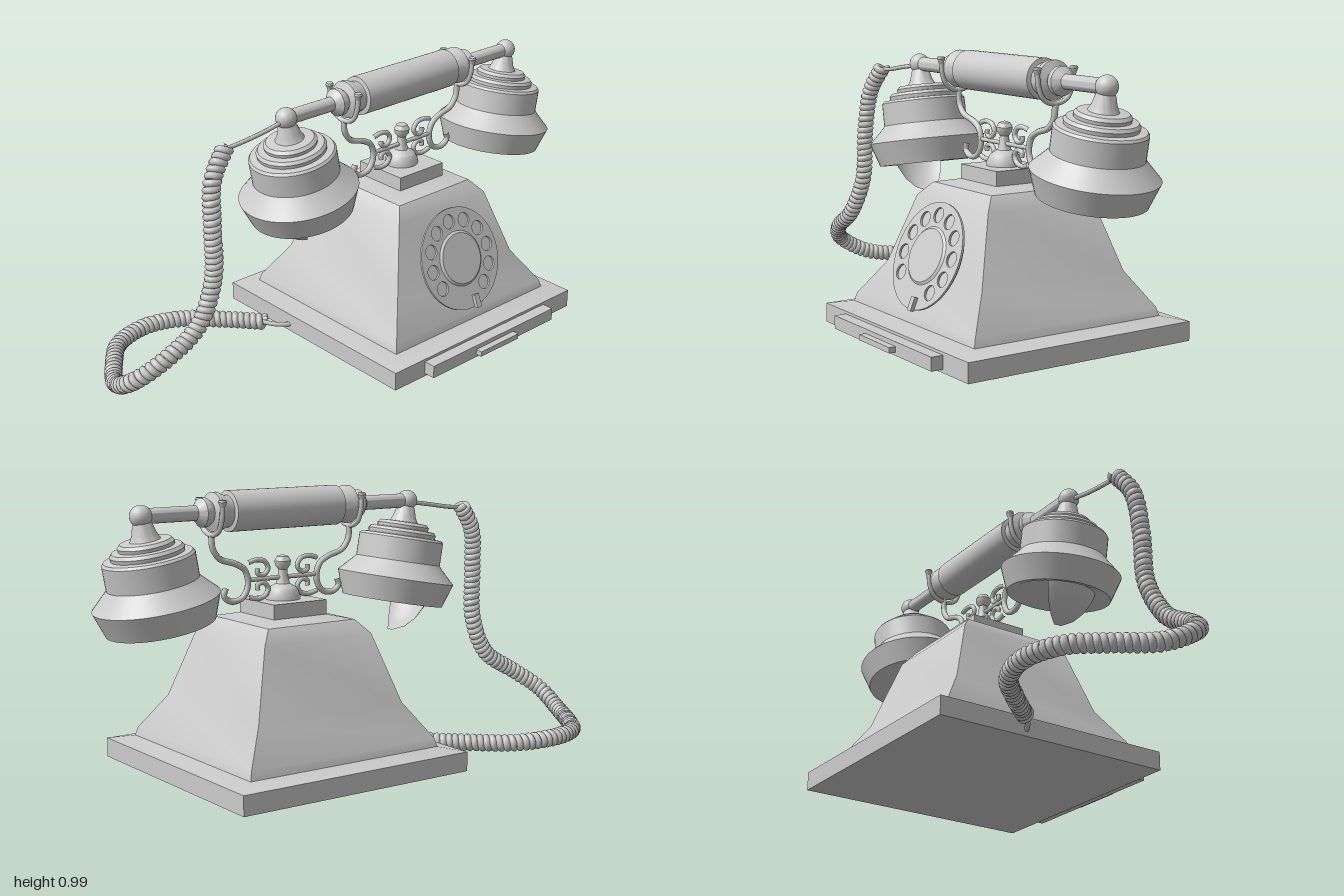
import * as THREE from 'three';
import { toCreasedNormals } from 'three/addons/utils/BufferGeometryUtils.js';

const CX = 0.265, CZ = -0.035, BAR_Y = 0.92;
const grey = new THREE.MeshStandardMaterial({ color: 0xcccccc });
const greyDouble = new THREE.MeshStandardMaterial({ color: 0xcccccc, side: THREE.DoubleSide });
const V = (x, y, z) => new THREE.Vector3(x, y, z);

function add(parent, name, geometry, x = 0, y = 0, z = 0, material = grey) {
  const mesh = new THREE.Mesh(geometry, material);
  mesh.name = name;
  mesh.position.set(x, y, z);
  parent.add(mesh);
  return mesh;
}

// Turned profile of [radius, height] pairs, listed bottom to top
function turned(profile, segments = 40, start = 0, sweep = Math.PI * 2, crease = 0.6) {
  const points = profile.map(([r, y]) => new THREE.Vector2(r, y));
  return toCreasedNormals(new THREE.LatheGeometry(points, segments, start, sweep), crease);
}

// Square tower of [half width, height] pairs
const squareTower = profile =>
  turned(profile.map(([w, y]) => [w * Math.SQRT2, y]), 4, Math.PI / 4, Math.PI * 2, 0.5);

const tube = (points, radius, segments = 40) =>
  new THREE.TubeGeometry(new THREE.CatmullRomCurve3(points), segments, radius, 8);

// Helix wound around a path
class Coil extends THREE.Curve {
  constructor(path, turns, radius) {
    super();
    Object.assign(this, { path, turns, radius, steps: 400 });
    this.frames = path.computeFrenetFrames(this.steps);
  }
  getPoint(t, target = V(0, 0, 0)) {
    const f = t * this.steps, i = Math.min(Math.floor(f), this.steps - 1), k = f - i;
    const n = this.frames.normals[i].clone().lerp(this.frames.normals[i + 1], k);
    const b = this.frames.binormals[i].clone().lerp(this.frames.binormals[i + 1], k);
    const a = t * this.turns * Math.PI * 2;
    return target.copy(this.path.getPointAt(t))
      .addScaledVector(n, Math.cos(a) * this.radius)
      .addScaledVector(b, Math.sin(a) * this.radius);
  }
}

function makeBody() {
  const body = new THREE.Group();
  body.name = 'body';
  add(body, 'housing', squareTower([
    [0, 0], [0.465, 0], [0.465, 0.07], [0.39, 0.085], [0.382, 0.115], [0.3, 0.24],
    [0.222, 0.485], [0.18, 0.533], [0.11, 0.548], [0.11, 0.6], [0, 0.6]]), CX, 0, CZ);
  add(body, 'drawer', new THREE.BoxGeometry(0.64, 0.048, 0.05), CX, 0.036, 0.45);
  add(body, 'drawerHandle', new THREE.BoxGeometry(0.2, 0.02, 0.03), CX, 0.034, 0.485);
  add(body, 'finial', turned([
    [0, 0.6], [0.062, 0.6], [0.062, 0.615], [0.05, 0.64], [0.025, 0.655], [0.018, 0.68],
    [0.016, 0.705], [0.027, 0.72], [0.029, 0.735], [0.02, 0.751], [0, 0.757]], 24), CX, 0, CZ);
  return body;
}

function makeDial() {
  const dial = new THREE.Group();
  dial.name = 'dial';
  const face = new THREE.Shape().absarc(0, 0, 0.192, 0, Math.PI * 2);
  for (let i = 0; i < 10; i++) {
    const a = -0.95 + i * 0.52;
    face.holes.push(new THREE.Path().absarc(Math.cos(a) * 0.145, Math.sin(a) * 0.145, 0.027, 0, Math.PI * 2, true));
  }
  add(dial, 'fingerWheel', new THREE.ExtrudeGeometry(face, { depth: 0.008, bevelEnabled: false, curveSegments: 24 }));
  const disc = (name, top, bottom, depth, z) =>
    add(dial, name, new THREE.CylinderGeometry(top, bottom, depth, 40).rotateX(Math.PI / 2), 0, 0, z);
  disc('numberPlate', 0.18, 0.18, 0.006, -0.007);
  disc('hub', 0.095, 0.105, 0.008, 0.011);
  disc('spindle', 0.05, 0.05, 0.05, -0.03);
  add(dial, 'fingerStop', new THREE.BoxGeometry(0.022, 0.05, 0.014), 0.02, -0.172, 0.015);
  dial.position.set(CX, 0.31, 0.28);
  dial.rotation.x = -0.39;
  return dial;
}

function makeHandset() {
  const handset = new THREE.Group();
  handset.name = 'handset';
  // Half of the turned bar from the middle outward, then mirrored
  const half = [[0.071, 0.225], [0.055, 0.228], [0.055, 0.24], [0.068, 0.268], [0.068, 0.285],
    [0.04, 0.297], [0.05, 0.312], [0.05, 0.33], [0.034, 0.345], [0.026, 0.352], [0.026, 0.53]];
  const mirrored = half.map(([r, y]) => [r, -y]).reverse();
  add(handset, 'handleBar', turned([...mirrored, ...half]).rotateZ(Math.PI / 2));

  const cupProfile = [[0, -0.335], [0.1, -0.345], [0.165, -0.372], [0.187, -0.375], [0.217, -0.288],
    [0.168, -0.238], [0.157, -0.225], [0.157, -0.142], [0.15, -0.133], [0.124, -0.131], [0.126, -0.118],
    [0.118, -0.107], [0.094, -0.105], [0.096, -0.093], [0.086, -0.082], [0.052, -0.08],
    [0.042, -0.06], [0.034, -0.03], [0.02, 0]];
  for (const side of [-1, 1]) {
    const end = new THREE.Group();
    end.name = side < 0 ? 'mouthpieceEnd' : 'earpieceEnd';
    add(end, 'endBall', new THREE.SphereGeometry(0.038, 24, 16));
    add(end, 'cup', turned(cupProfile, 48));
    // Curved speaking lip below one cup
    if (side < 0) add(end, 'speakingLip', turned([[0.015, -0.485], [0.06, -0.465], [0.095, -0.43],
      [0.12, -0.385], [0.13, -0.35]], 16, Math.PI * 1.2, Math.PI * 0.6), 0, 0, 0, greyDouble);
    end.position.x = side * 0.557;
    end.rotation.z = -side * 0.18;
    handset.add(end);
  }
  handset.position.set(CX, BAR_Y, CZ);
  return handset;
}

// One half of the cradle, made toward +x and turned round for the other
function makeCradle(side) {
  const cradle = new THREE.Group();
  cradle.name = side < 0 ? 'rightCradle' : 'leftCradle';
  add(cradle, 'fork', tube([[0.955, -0.076], [0.9, -0.07], [0.858, -0.048], [0.842, 0],
    [0.858, 0.048], [0.9, 0.07], [0.955, 0.076]].map(([y, z]) => V(0.29, y, z)), 0.009));
  for (const z of [-0.076, 0.076])
    add(cradle, 'forkTip', turned([[0, -0.015], [0.008, -0.015], [0.015, 0.003], [0.013, 0.01], [0, 0.012]], 16), 0.29, 0.955, z);
  const scroll = (name, points, radius) =>
    add(cradle, name, tube(points.map(([x, y]) => V(x, y, 0)), radius));
  scroll('arm', [[0.29, 0.842], [0.285, 0.795], [0.257, 0.758], [0.195, 0.737], [0.157, 0.712],
    [0.145, 0.66], [0.168, 0.617], [0.215, 0.608], [0.243, 0.63], [0.235, 0.655]], 0.011);
  // Pair of small inner curls, mirrored up and down
  for (const k of [-1, 1])
    scroll('curl', [[0.145, 0.06], [0.11, 0.068], [0.075, 0.06], [0.062, 0.035], [0.08, 0.014],
      [0.105, 0.02], [0.105, 0.038]].map(([x, y]) => [x, 0.677 + k * y]), 0.009);
  scroll('crossBar', [[0.015, 0.677], [0.08, 0.677], [0.148, 0.677]], 0.008);
  cradle.position.set(CX, 0, CZ);
  cradle.rotation.y = side < 0 ? Math.PI : 0;
  return cradle;
}

function makeCord() {
  const cord = new THREE.Group();
  cord.name = 'cord';
  const path = new THREE.CatmullRomCurve3([
    V(-0.56, 0.89, -0.03), V(-0.63, 0.79, -0.015), V(-0.65, 0.63, 0), V(-0.66, 0.44, 0.005),
    V(-0.74, 0.29, 0.015), V(-0.88, 0.2, 0), V(-0.965, 0.13, -0.06), V(-0.955, 0.06, -0.19),
    V(-0.87, 0.05, -0.33), V(-0.78, 0.05, -0.43), V(-0.63, 0.05, -0.47), V(-0.49, 0.045, -0.43),
    V(-0.38, 0.042, -0.33), V(-0.27, 0.04, -0.21)]);
  add(cord, 'coiledCord', new THREE.TubeGeometry(new Coil(path, 88, 0.02), 1400, 0.013, 7));
  add(cord, 'upperLead', tube([V(-0.29, 0.915, CZ), V(-0.4, 0.9, -0.025), V(-0.5, 0.885, -0.03),
    V(-0.57, 0.88, -0.03)], 0.008));
  add(cord, 'lowerLead', tube([V(-0.28, 0.04, -0.22), V(-0.24, 0.03, -0.18), V(-0.19, 0.025, -0.15)], 0.009, 12));
  return cord;
}

export function createModel() {
  const model = new THREE.Group();
  model.name = 'telephone';
  model.add(makeBody(), makeDial(), makeHandset(), makeCradle(-1), makeCradle(1), makeCord());
  return model;
}
